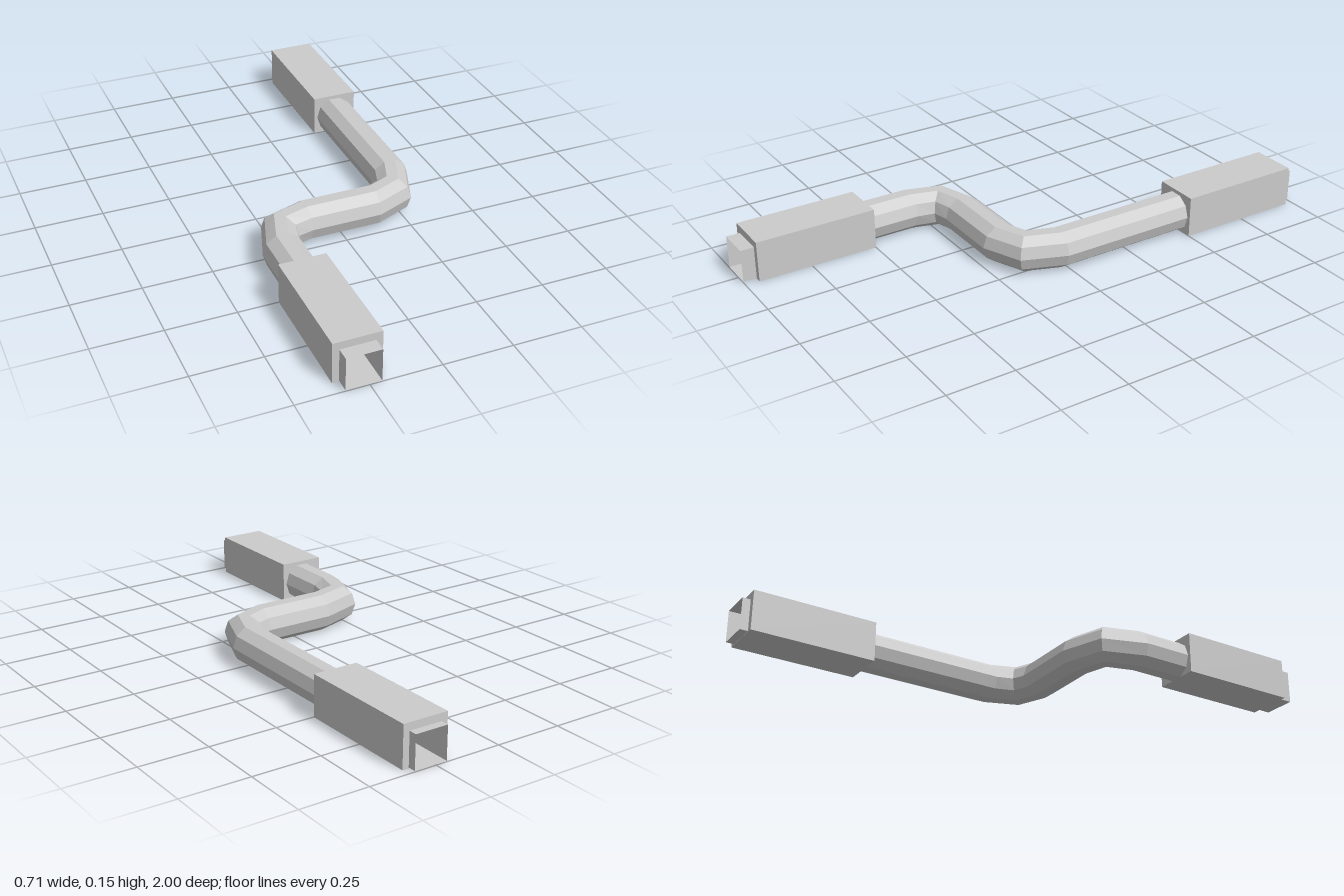
import * as THREE from 'three';

const SIDES = 10, RADIUS = 0.0725, AXIS_Y = 0.072;
const material = new THREE.MeshStandardMaterial({ color: 0xcccccc, flatShading: true, side: THREE.DoubleSide });

function addMesh(parent, name, geometry) {
  const mesh = new THREE.Mesh(geometry, material);
  mesh.name = name;
  parent.add(mesh);
  return mesh;
}

function rectangle(Type, x0, y0, x1, y1) {
  return new Type([[x0, y0], [x1, y0], [x1, y1], [x0, y1]].map(([x, y]) => new THREE.Vector2(x, y)));
}

// Ten-sided open tube through [x, z, heading] rings
function cableGeometry(rings) {
  const positions = [], index = [];
  rings.forEach(([x, z, heading], i) => {
    for (let j = 0; j < SIDES; j++) {
      const a = (j / SIDES) * Math.PI * 2;
      const side = Math.cos(a) * RADIUS;
      positions.push(x + Math.cos(heading) * side, AXIS_Y + Math.sin(a) * RADIUS, z - Math.sin(heading) * side);
      if (i === 0) continue;
      const k = (j + 1) % SIDES, p = (i - 1) * SIDES, q = i * SIDES;
      index.push(p + j, p + k, q + k, p + j, q + k, q + j);
    }
  });
  const geometry = new THREE.BufferGeometry();
  geometry.setAttribute('position', new THREE.Float32BufferAttribute(positions, 3));
  geometry.setIndex(index);
  geometry.computeVertexNormals();
  return geometry;
}

// Hollow plug: cable enters at local z = 0, sleeve opens towards +z
function connector(name, bodyLength, totalLength) {
  const group = new THREE.Group();
  group.name = name;
  const half = 0.0615, floor = 0.006, top = 0.127;

  // Housing with a rectangular channel
  const body = rectangle(THREE.Shape, -0.085, 0.003, 0.085, 0.155);
  body.holes.push(rectangle(THREE.Path, -half, floor, half, top));
  addMesh(group, 'housing', new THREE.ExtrudeGeometry(body, { depth: bodyLength, bevelEnabled: false }));

  // Wall around the cable entry
  const wall = rectangle(THREE.Shape, -0.085, 0.003, 0.085, 0.155);
  const entry = new THREE.Path();
  for (let j = 0; j < SIDES; j++) {
    const a = (j / SIDES) * Math.PI * 2;
    entry[j ? 'lineTo' : 'moveTo'](Math.cos(a) * RADIUS * 0.99, AXIS_Y + Math.sin(a) * RADIUS * 0.99);
  }
  entry.closePath();
  wall.holes.push(entry);
  addMesh(group, 'entryWall', new THREE.ShapeGeometry(wall));

  // Thin open sleeve at the tip
  const length = totalLength - bodyLength;
  const sleeve = new THREE.CylinderGeometry(Math.SQRT1_2, Math.SQRT1_2, 1, 4, 1, true);
  sleeve.rotateY(Math.PI / 4).rotateX(Math.PI / 2).scale(half * 2, top - floor, length);
  sleeve.translate(0, (top + floor) / 2, bodyLength + length / 2);
  addMesh(group, 'tipSleeve', sleeve);
  return group;
}

export function createModel() {
  const model = new THREE.Group();
  model.name = 'cable';
  const turn = -Math.PI / 2;

  // S-shaped cable
  addMesh(model, 'cord', cableGeometry([
    [0.27, -0.5, 0], [0.27, 0.02, 0], [0.23, 0.13, turn / 2], [0.135, 0.17, turn],
    [-0.125, 0.17, turn], [-0.235, 0.205, turn / 2], [-0.27, 0.32, 0], [-0.27, 0.5, 0],
  ]));

  // Plugs at both ends
  const front = connector('frontConnector', 0.45, 0.5);
  front.position.set(-0.27, 0, 0.5);
  const back = connector('backConnector', 0.47, 0.5);
  back.position.set(0.27, 0, -0.5);
  back.rotation.y = Math.PI;
  model.add(front, back);
  return model;
}
